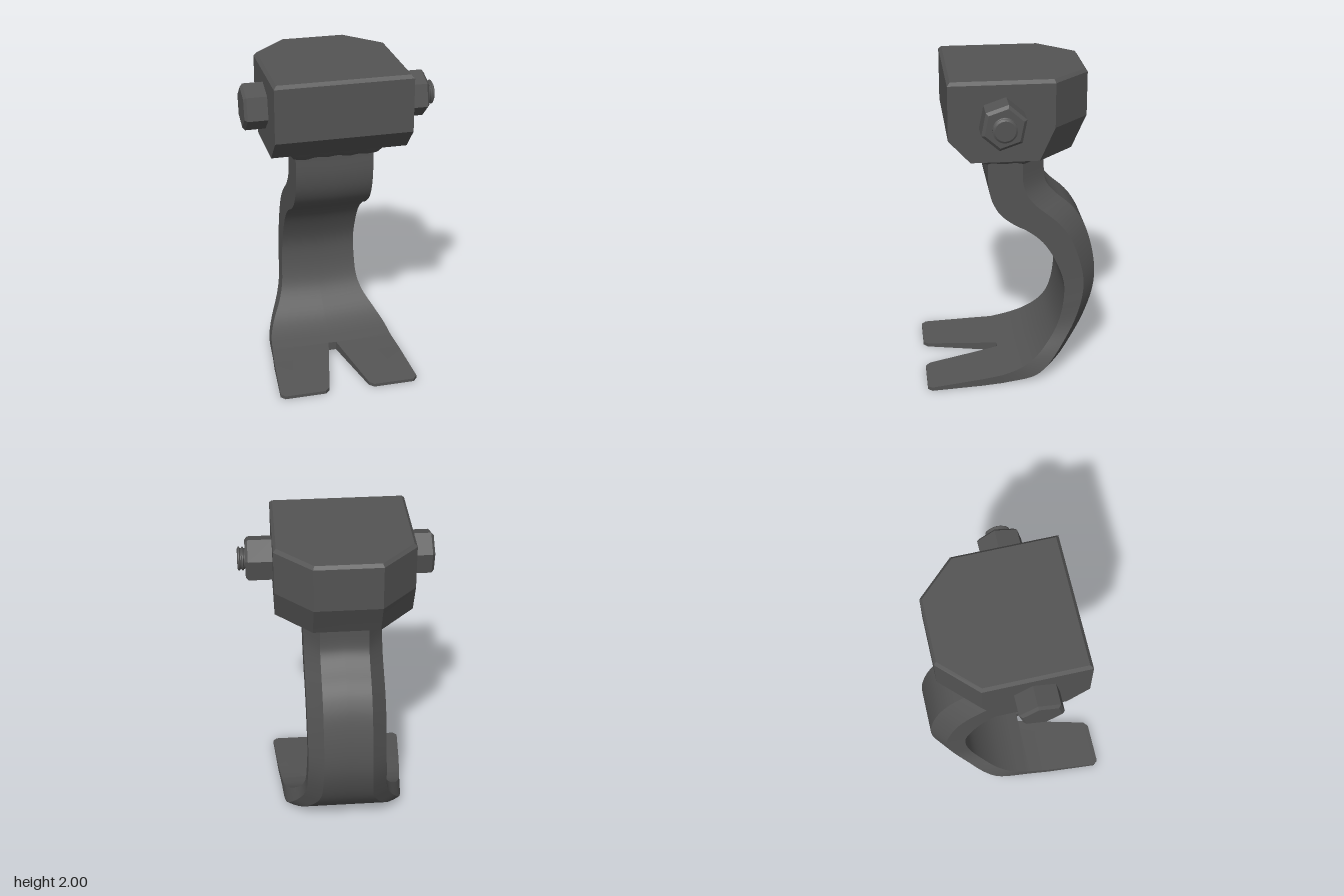
import * as THREE from 'three';
import { toCreasedNormals } from 'three/addons/utils/BufferGeometryUtils.js';

const CX = -0.036; // centre line of head and shank

// Skin closed rings of Vector3; optional end caps, mirror in x, and a test for quads to leave out
function loft(rings, { startCap = false, endCap = false, mirror = false, skip = () => false, crease = 0.5 } = {}) {
  const pos = [];
  const tri = (a, b, c) => {
    for (const p of [a, b, c]) pos.push(p.x, p.y, p.z);
    if (mirror) for (const p of [a, c, b]) pos.push(-p.x, p.y, p.z);
  };
  const n = rings[0].length;
  for (let i = 0; i < rings.length - 1; i++) {
    for (let j = 0; j < n; j++) {
      const k = (j + 1) % n;
      const a = rings[i][j], b = rings[i][k], c = rings[i + 1][k], d = rings[i + 1][j];
      if (skip(a, b, c, d)) continue;
      tri(a, b, c);
      tri(a, c, d);
    }
  }
  const first = rings[0], last = rings[rings.length - 1];
  for (let j = 1; j < n - 1; j++) {
    if (startCap) tri(first[0], first[j + 1], first[j]);
    if (endCap) tri(last[0], last[j], last[j + 1]);
  }
  const geo = new THREE.BufferGeometry();
  geo.setAttribute('position', new THREE.Float32BufferAttribute(pos, 3));
  return toCreasedNormals(geo, crease);
}

const V = (x, y, z) => new THREE.Vector3(x, y, z);

// Block with a chamfered front underside and tapered rear corners
function headGeometry() {
  // y, half width, front z, side corner z, back z, back half width
  const rows = [
    [1.51, 0.415, 0.26, -0.15, -0.37, 0.2],
    [1.65, 0.415, 0.39, -0.213, -0.432, 0.2],
    [1.71, 0.415, 0.39, -0.24, -0.46, 0.2],
    [1.98, 0.415, 0.39, -0.24, -0.46, 0.2],
    [2.0, 0.397, 0.372, -0.232, -0.445, 0.192],
  ];
  const rings = rows.map(([y, w, f, s, b, bw]) => [
    V(w, y, f), V(w, y, s), V(bw, y, b), V(-bw, y, b), V(-w, y, s), V(-w, y, f),
  ]);
  return loft(rings, { startCap: true, endCap: true, crease: 0.05 });
}

// Curved shank flaring into a flat blade with a V notch
function shankGeometry() {
  // front z, front y, back z, back y, half width, rear chamfer amount
  const rows = [
    [0.14, 1.53, -0.21, 1.53, 0.243, 1],
    [0.14, 1.43, -0.21, 1.43, 0.243, 1],
    [0.14, 1.30, -0.215, 1.315, 0.243, 1],
    [0.117, 1.19, -0.24, 1.25, 0.243, 1],
    [0.064, 1.097, -0.297, 1.187, 0.243, 1],
    [-0.02, 1.028, -0.376, 1.118, 0.243, 1],
    [-0.106, 0.98, -0.435, 1.044, 0.243, 1],
    [-0.2, 0.9, -0.488, 0.938, 0.243, 1],
    [-0.276, 0.78, -0.53, 0.784, 0.243, 1],
    [-0.334, 0.625, -0.546, 0.636, 0.243, 1],
    [-0.334, 0.482, -0.53, 0.503, 0.248, 1],
    [-0.302, 0.344, -0.477, 0.35, 0.257, 1],
    [-0.244, 0.244, -0.403, 0.228, 0.288, 0.95],
    [-0.154, 0.154, -0.286, 0.1, 0.345, 0.7],
    [-0.048, 0.095, -0.132, 0.03, 0.385, 0],
    [0.07, 0.06, 0.07, 0.003, 0.402, 0],
  ];
  const curve = (pick) => new THREE.CatmullRomCurve3(rows.map(pick), false, 'catmullrom', 0.5);
  const front = curve((r) => V(0, r[1], r[0]));
  const back = curve((r) => V(0, r[3], r[2]));
  const size = curve((r) => V(r[4], r[5], 0));

  // One half section: outer front, inner front, inner back, outer back, chamfer edge
  const section = (f, b, w, c, notch) => {
    const m = f.clone().lerp(b, 1 - 0.4 * c);
    return [V(w, f.y, f.z), V(notch, f.y, f.z), V(notch, b.y, b.z), V(w - 0.093 * c, b.y, b.z), V(w, m.y, m.z)];
  };
  const rings = [];
  const steps = 60;
  for (let i = 0; i <= steps; i++) {
    const t = i / steps, s = size.getPoint(t);
    rings.push(section(front.getPoint(t), back.getPoint(t), s.x, THREE.MathUtils.clamp(s.y, 0, 1), 0));
  }
  // Prongs: z, front y, back y, half width, notch half width
  const prongs = [
    [0.07, 0.06, 0.003, 0.402, 0.025],
    [0.2, 0.048, 0.001, 0.417, 0.055],
    [0.52, 0.023, 0, 0.442, 0.128],
    [0.548, 0.02, 0, 0.416, 0.158],
  ];
  for (const [z, fy, by, w, notch] of prongs) rings.push(section(V(0, fy, z), V(0, by, z), w, 0, notch));
  const hidden = (a, b, c, d) => [a, b, c, d].every((p) => p.x === 0);
  return loft(rings, { endCap: true, mirror: true, skip: hidden, crease: 0.35 });
}

// Lumpy bead around the top of the shank
function weldGeometry() {
  const outline = new THREE.Shape([
    [0.243, 0.14], [0.243, -0.075], [0.15, -0.21], [-0.15, -0.21], [-0.243, -0.075], [-0.243, 0.14], [0.243, 0.14],
  ].map(([x, z]) => new THREE.Vector2(x, z)));
  const pts = outline.getSpacedPoints(72).slice(0, 72);
  // y, growth in x, growth in z
  const rows = [[1.432, -0.005, -0.005], [1.44, 0.015, 0.02], [1.475, 0.037, 0.05], [1.515, 0.047, 0.085]];
  const rings = rows.map(([y, gx, gz], i) => pts.map((p, j) => {
    const lump = Math.sin(j * 1.05) * 0.6 + Math.sin(j * 0.44 + i) * 0.4;
    const k = i === 0 ? 1 : 1 + 0.018 * lump;
    return V(p.x * (1 + gx / 0.243) * k, y + (i < 3 ? 0.008 * lump : 0), -0.035 + (p.y + 0.035) * (1 + gz / 0.175) * k);
  }));
  return loft(rings, { crease: 1.2 });
}

// Bevelled hexagon along y
function hexGeometry(length, phase) {
  const profile = [[0.14, 0], [0.14, length - 0.016], [0.12, length], [0, length]];
  const geo = new THREE.LatheGeometry(profile.map(([r, y]) => new THREE.Vector2(r, y)), 6, phase).toNonIndexed();
  geo.computeVertexNormals();
  return geo;
}

// Threaded bolt end along y
function threadGeometry() {
  const profile = [
    [0.06, 0], [0.062, 0.012], [0.072, 0.017], [0.072, 0.023], [0.062, 0.029],
    [0.062, 0.033], [0.072, 0.039], [0.072, 0.045], [0.06, 0.052], [0, 0.052],
  ];
  return toCreasedNormals(new THREE.LatheGeometry(profile.map(([r, y]) => new THREE.Vector2(r, y)), 32), 0.5);
}

export function createModel() {
  const steel = new THREE.MeshStandardMaterial({ color: 0x545454 });
  steel.name = 'dark steel';
  const model = new THREE.Group();
  model.name = 'clawTool';
  const add = (name, geo, x = 0, y = 0, z = 0, roll = 0) => {
    const mesh = new THREE.Mesh(geo, steel);
    mesh.name = name;
    mesh.position.set(x, y, z);
    mesh.rotation.z = roll;
    model.add(mesh);
  };

  add('head', headGeometry(), CX);
  add('shankAndClaw', shankGeometry(), CX);
  add('weldBead', weldGeometry(), CX);

  // Cross bolt through the head
  const q = Math.PI / 2;
  add('nut', hexGeometry(0.17, 0.33), 0.37, 1.77, 0.077, -q);
  add('boltThread', threadGeometry(), 0.535, 1.77, 0.077, -q);
  add('boltHead', hexGeometry(0.15, 0.72), -0.44, 1.775, 0.075, q);
  return model;
}
